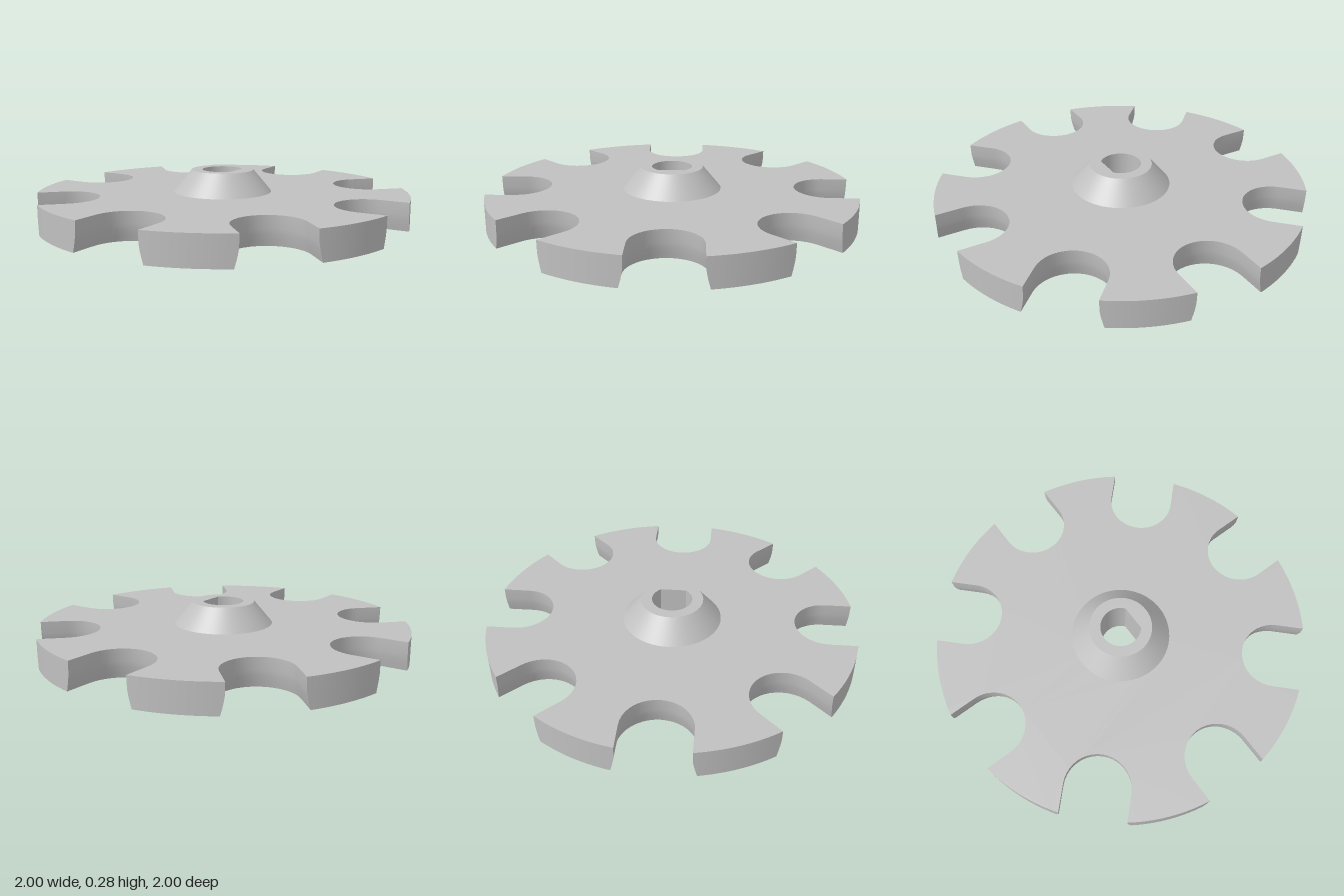
import * as THREE from 'three';
import { toCreasedNormals } from 'three/addons/utils/BufferGeometryUtils.js';

const R = 1.016, SLOTS = 8, SLOT_CENTRE = 0.853;
const PLATE_TOP = 0.155, HUB_TOP = 0.275, HUB_BASE_R = 0.27, HUB_TOP_R = 0.17;

// Anticlockwise wheel outline with round-ended slots of half-width w
function wheelOutline(w) {
  const pts = [], step = (Math.PI * 2) / SLOTS, half = Math.asin(w / R);
  for (let k = 0; k < SLOTS; k++) {
    const t = k * step, c = Math.cos(t), s = Math.sin(t);
    const add = (u, v) => pts.push(new THREE.Vector2(u * c - v * s, u * s + v * c));
    for (let i = 0; i <= 20; i++) {
      const a = -Math.PI / 2 - (Math.PI * i) / 20;
      add(SLOT_CENTRE + w * Math.cos(a), w * Math.sin(a));
    }
    for (let i = 0; i <= 10; i++) {
      const a = half + ((step - 2 * half) * i) / 10;
      add(R * Math.cos(a), R * Math.sin(a));
    }
    // mouth corner of the next slot is the last arc point
  }
  return pts;
}

function circle(r, n = 64) {
  return Array.from({ length: n }, (_, i) => {
    const a = (i / n) * Math.PI * 2;
    return new THREE.Vector2(r * Math.cos(a), r * Math.sin(a));
  });
}

// Round bore with one flat on the +x side
function boreOutline() {
  const r = 0.11, a0 = Math.acos(0.085 / r);
  return Array.from({ length: 41 }, (_, i) => {
    const a = a0 + ((Math.PI * 2 - 2 * a0) * i) / 40;
    return new THREE.Vector2(r * Math.cos(a), r * Math.sin(a));
  });
}

// Wall through matching outlines, each { y, pts }, from the bottom up
function loft(rings) {
  const pos = [], idx = [], n = rings[0].pts.length;
  rings.forEach(({ y, pts }) => pts.forEach((p) => pos.push(p.x, y, -p.y)));
  for (let j = 0; j < rings.length - 1; j++) {
    for (let i = 0; i < n; i++) {
      const a = j * n + i, b = j * n + ((i + 1) % n);
      idx.push(a, b, b + n, a, b + n, a + n);
    }
  }
  const g = new THREE.BufferGeometry();
  g.setAttribute('position', new THREE.Float32BufferAttribute(pos, 3));
  g.setIndex(idx);
  return toCreasedNormals(g, Math.PI / 6);
}

// Flat face with one hole, facing up or down
function cap(outer, hole, y, up) {
  const shape = new THREE.Shape(outer);
  shape.holes.push(new THREE.Path(hole));
  return new THREE.ShapeGeometry(shape).rotateX(up ? -Math.PI / 2 : Math.PI / 2).translate(0, y, 0);
}

export function createModel() {
  const model = new THREE.Group();
  model.name = 'slottedWheel';
  const grey = new THREE.MeshStandardMaterial({ color: 0xc0c0c0 });
  grey.name = 'light grey';
  const add = (name, geometry, parent) => {
    const mesh = new THREE.Mesh(geometry, grey);
    mesh.name = name;
    parent.add(mesh);
  };
  const bore = boreOutline();

  // Wheel plate, slots flaring slightly towards the underside
  const plate = new THREE.Group();
  plate.name = 'plate';
  const flare = [[0, 0.2], [0.03, 0.192], [0.06, 0.185], [0.09, 0.18], [PLATE_TOP, 0.178]];
  const rings = flare.map(([y, w]) => ({ y, pts: wheelOutline(w) }));
  add('plateRim', loft(rings), plate);
  add('plateTop', cap(rings[rings.length - 1].pts, circle(HUB_BASE_R), PLATE_TOP, true), plate);
  add('plateUnderside', cap(rings[0].pts, bore, 0, false), plate);

  // Conical hub
  const hub = new THREE.Group();
  hub.name = 'hub';
  add('hubCone', loft([
    { y: PLATE_TOP, pts: circle(HUB_BASE_R) },
    { y: HUB_TOP, pts: circle(HUB_TOP_R) },
  ]), hub);
  add('hubTop', cap(circle(HUB_TOP_R), bore, HUB_TOP, true), hub);

  // Shaft bore through hub and plate
  const inward = [...bore].reverse();
  add('shaftBore', loft([{ y: 0, pts: inward }, { y: HUB_TOP, pts: inward }]), hub);

  model.add(plate, hub);
  return model;
}
